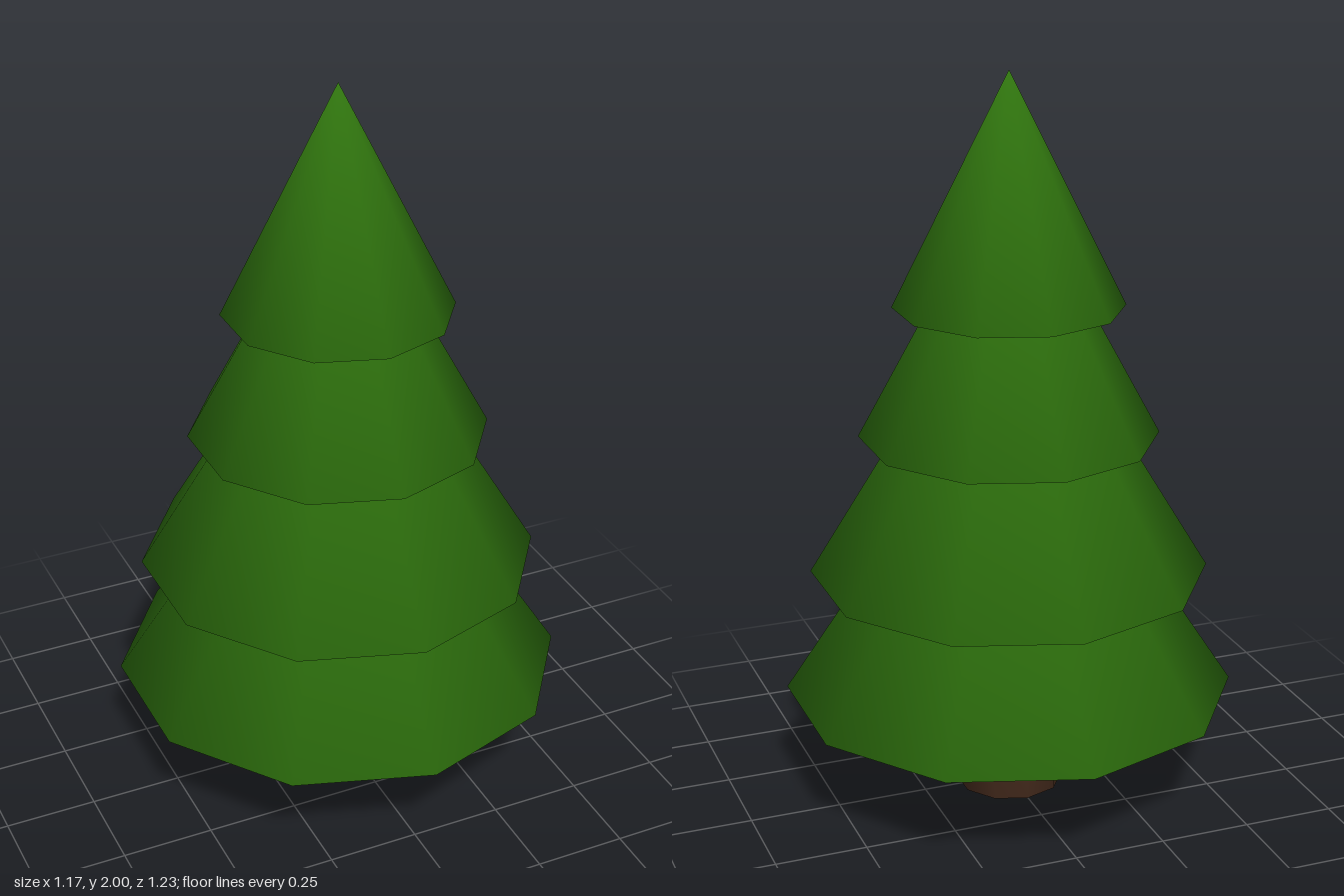
import * as THREE from 'three';

const SIDES = 10;

const leafGreen = new THREE.MeshStandardMaterial({ color: 0x32790f });
leafGreen.name = 'leafGreen';
const barkBrown = new THREE.MeshStandardMaterial({ color: 0x4a2e1f });
barkBrown.name = 'barkBrown';

// Ten-sided, smooth-shaded solid turned from [radius, height] pairs, bottom to top
function turned(name, profile, material) {
  const points = profile.map(([r, y]) => new THREE.Vector2(r, y));
  const mesh = new THREE.Mesh(new THREE.LatheGeometry(points, SIDES), material);
  mesh.name = name;
  return mesh;
}

// One cone of branches with a hollowed underside; its tip hides in the tier above
function branchTier(name, radius, base, tip, hollow) {
  const tier = turned(name, [[0, base + hollow], [radius, base], [0, tip]], leafGreen);

  // Soft shading: rim normals lean slightly down, tip normals point straight up
  const { normal } = tier.geometry.attributes;
  for (let i = 0; i < normal.count; i += 3) {
    normal.setY(i + 1, -0.15);
    normal.setXYZ(i + 2, 0, 1, 0);
  }
  return tier;
}

export function createModel() {
  const tree = new THREE.Group();
  tree.name = 'pineTree';

  // Trunk, closed at the foot and running up into the hollow of the lowest tier
  tree.add(turned('trunk', [[0, 0], [0.148, 0], [0.148, 0.52]], barkBrown));

  // Rim radius, rim height, tip height, depth of the hollow underneath
  tree.add(
    branchTier('lowestTier', 0.617, 0.29, 1.23, 0.237),
    branchTier('lowerTier', 0.543, 0.635, 1.53, 0.33),
    branchTier('upperTier', 0.405, 1.022, 1.77, 0.25),
    branchTier('topTier', 0.31, 1.378, 2, 0.19),
  );
  return tree;
}
